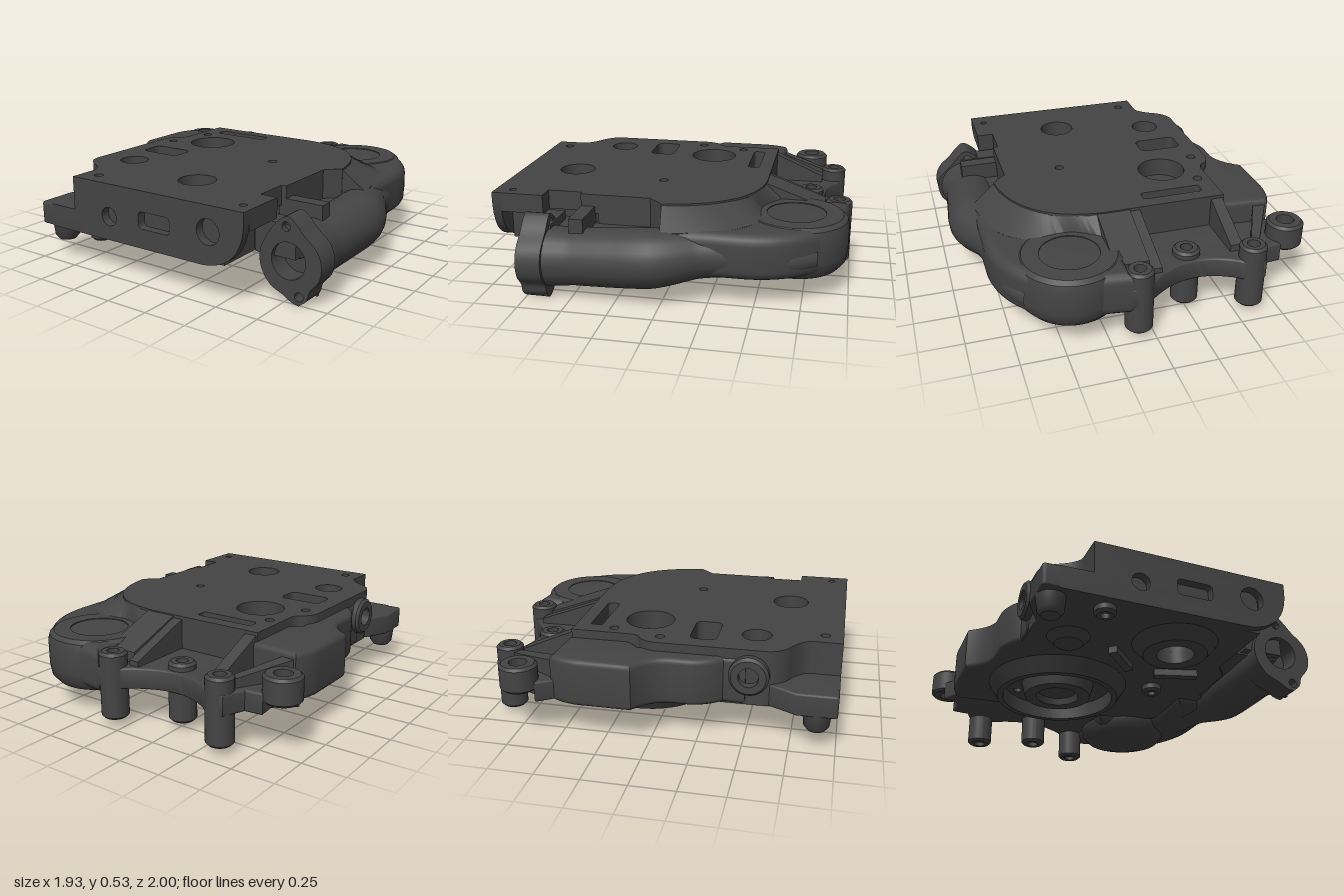
import * as THREE from 'three';
import { toCreasedNormals } from 'three/addons/utils/BufferGeometryUtils.js';

const metal = new THREE.MeshStandardMaterial({ color: 0x444444 });

export function createModel() {
  const model = new THREE.Group();

  const add = (name, geometry) => {
    const mesh = new THREE.Mesh(toCreasedNormals(geometry, 0.6), metal);
    mesh.name = name;
    model.add(mesh);
    return mesh;
  };

  // Points are [x, y] corners or [cx, cy, x, y] curves; holes are [x, y, r] or [x0, y0, x1, y1].
  const makeShape = (pts, holes = []) => {
    const shape = new THREE.Shape();
    pts.forEach((p, i) => {
      if (i === 0) shape.moveTo(...p);
      else if (p.length === 4) shape.quadraticCurveTo(...p);
      else shape.lineTo(...p);
    });
    for (const h of holes) {
      const path = new THREE.Path();
      if (h.length === 3) path.absarc(h[0], h[1], h[2], 0, Math.PI * 2, true);
      else {
        const [a, b, c, d] = h, r = Math.min(c - a, d - b) * 0.3;
        path.moveTo(a + r, b).lineTo(c - r, b).quadraticCurveTo(c, b, c, b + r)
          .lineTo(c, d - r).quadraticCurveTo(c, d, c - r, d).lineTo(a + r, d)
          .quadraticCurveTo(a, d, a, d - r).lineTo(a, b + r).quadraticCurveTo(a, b, a + r, b);
      }
      shape.holes.push(path);
    }
    return shape;
  };

  // Horizontal plate from an x/z outline between two heights.
  const plate = (name, pts, y0, y1, holes = [], bevel = 0) => {
    const g = new THREE.ExtrudeGeometry(makeShape(pts, holes), {
      depth: y1 - y0 - 2 * bevel, bevelEnabled: bevel > 0, bevelThickness: bevel,
      bevelSize: bevel, bevelOffset: -bevel, bevelSegments: 5, curveSegments: 20,
    });
    return add(name, g.rotateX(Math.PI / 2).translate(0, y1 - bevel, 0));
  };

  // Vertical face plate from an x/y shape.
  const facePlate = (name, shape, z0, z1) => add(name, new THREE.ExtrudeGeometry(shape,
    { depth: z1 - z0, bevelEnabled: false, curveSegments: 20 }).translate(0, 0, z0));

  // Turned part around a vertical axis, profile in [r, y].
  const turned = (name, x, z, profile) => add(name, new THREE.LatheGeometry(
    profile.map(p => new THREE.Vector2(...p)), 48).translate(x, 0, z));

  // Four-cornered solid swept through sections (inner top, outer top, outer bottom, inner bottom).
  const loft = (name, sections) => {
    const index = [], n = sections.length;
    for (let j = 0; j < n - 1; j++) for (let k = 0; k < 4; k++) {
      const a = j * 4 + k, b = j * 4 + (k + 1) % 4;
      index.push(a, a + 4, b, b, a + 4, b + 4);
    }
    const e = (n - 1) * 4;
    index.push(0, 1, 2, 0, 2, 3, e, e + 3, e + 2, e, e + 2, e + 1);
    const g = new THREE.BufferGeometry();
    g.setAttribute('position', new THREE.Float32BufferAttribute(sections.flat(2), 3));
    g.setIndex(index);
    return add(name, g);
  };

  // Sloped rib running along z from the rear to the slab.
  const rib = (name, x0, x1, zRear, yRear, zFront, yFront, yBase) => loft(name,
    [[zRear, yRear], [zFront, yFront]].map(([z, y]) =>
      [[x0, y, z], [x1, y, z], [x1, yBase, z], [x0, yBase, z]]));

  // Hollow boss with a chamfered rim.
  const boss = (name, x, z, r, hole, y0, y1) => {
    const c = 0.015;
    return turned(name, x, z, [[hole, y0], [r - c, y0], [r, y0 + c], [r, y1 - c], [r - c, y1], [hole, y1], [hole, y0]]);
  };

  // Main slab: a lower layer, and an upper layer with blind recesses
  const through = [[0.14, 0.67, 0.105], [-0.5, -0.27, 0.026], [-0.57, 0.01, 0.026], [0.26, 0.1, 0.026], [-0.37, 0.9, 0.026]];
  const slabLeft = [[-0.47, 0.95], [-0.47, 0.83], [-0.48, 0.78, -0.57, 0.73], [-0.66, 0.68, -0.66, 0.6], [-0.66, 0.0],
    [-0.65, -0.08, -0.6, -0.1], [-0.57, -0.12, -0.57, -0.17], [-0.57, -0.5], [0.15, -0.5], [0.62, -0.47, 0.68, 0.02], [0.6, 0.1]];
  plate('upperSlab', [...slabLeft, [0.6, 0.5], [0.57, 0.5], [0.57, 0.7], [0.67, 0.7], [0.67, 0.95]], 0.42, 0.53,
    [...through, [0.6, 0.9, 0.02], [-0.33, -0.1, 0.14], [-0.44, 0.53, 0.083],
      [-0.47, -0.42, -0.11, -0.35], [-0.56, 0.17, -0.3, 0.32]]);
  plate('lowerSlab', [...slabLeft, [0.6, 0.4], [0.52, 0.5], [0.52, 0.95]], 0.21, 0.42, through);

  // Front face with three shallow pockets and a swept lower corner
  facePlate('frontFace', makeShape([[-0.47, 0.53], [-0.47, 0.34], [-0.65, 0.34], [-0.65, 0.21], [0.42, 0.21],
    [0.66, 0.23, 0.67, 0.47], [0.67, 0.53]],
    [[-0.21, 0.345, 0.052], [0, 0.32, 0.21, 0.415], [0.455, 0.39, 0.07]]), 0.95, 1);

  // Left-hand shoulder along the slab and the low foot at the front corner
  plate('sideShoulder', [[-0.53, -0.52], [-0.83, -0.54], [-0.88, -0.46, -0.88, -0.36], [-0.88, -0.08],
    [-0.76, 0.0, -0.75, 0.1], [-0.75, 0.22], [-0.73, 0.32, -0.67, 0.38], [-0.67, 0.5], [-0.61, 0.5], [-0.61, -0.1],
    [-0.53, -0.18]], 0.21, 0.48, [], 0.03);
  plate('cornerFoot', [[-0.4, 1], [-0.72, 1], [-0.74, 1, -0.74, 0.98], [-0.74, 0.78], [-0.66, 0.63], [-0.4, 0.63]],
    0.21, 0.34, [[-0.37, 0.9, 0.026]], 0.012);
  turned('footBoss', -0.66, 0.89, [[0, 0.1], [0.05, 0.105], [0.07, 0.13], [0.08, 0.22]]);
  const sidePort = boss('sidePort', 0, 0, 0.11, 0.055, 0, 0.1);
  sidePort.rotation.z = Math.PI / 2;
  sidePort.position.set(-0.61, 0.39, 0.52);

  // Rear mounting plate with concave edge, ribs and bolt bosses
  const bolts = [[-0.59, -0.87, 0.077, 0.036], [-0.25, -0.74, 0.077, 0.034], [0.08, -0.92, 0.077, 0.034]];
  plate('rearPlate', [[-0.84, -0.52], [-0.9, -0.61], [-0.82, -0.64], [-0.79, -0.7], [-0.8, -0.8], [-0.7, -0.81], [-0.65, -0.93],
    [-0.59, -0.95, -0.53, -0.92], [-0.26, -0.72, 0.02, -0.96], [0.07, -1, 0.12, -0.99], [0.16, -0.98], [0.16, -0.48], [-0.5, -0.48]],
    0.22, 0.34, bolts.map(([x, z, , h]) => [x, z, h]), 0.015);
  bolts.forEach(([x, z, r, h], i) => boss('rearBoss' + (i + 1), x, z, r, h, 0.04, i === 1 ? 0.38 : 0.42));
  boss('cornerBoss', -0.86, -0.71, 0.105, 0.05, 0.285, 0.435);
  rib('innerRib', -0.56, -0.49, -0.8, 0.38, -0.48, 0.52, 0.25);
  rib('middleRib', -0.06, 0, -0.88, 0.37, -0.48, 0.52, 0.25);
  rib('outletGusset', 0, 0.19, -0.84, 0.4, -0.48, 0.53, 0.25);
  loft('diagonalRib', [[[-0.65, 0.39, -0.82], [-0.6, 0.39, -0.82], [-0.6, 0.25, -0.82], [-0.65, 0.25, -0.82]],
    [[-0.84, 0.45, -0.5], [-0.76, 0.45, -0.5], [-0.76, 0.25, -0.5], [-0.84, 0.25, -0.5]]]);

  // Round outlet housing with blind bore, set in a curved casing
  turned('outletHousing', 0.4, -0.69, [[0, 0.09], [0.12, 0.095], [0.2, 0.125], [0.25, 0.14], [0.285, 0.18], [0.295, 0.24],
    [0.295, 0.38], [0.285, 0.415], [0.26, 0.435], [0.165, 0.435], [0.165, 0.3], [0, 0.3]]);
  plate('outletCasing', [[0.13, -0.985], [0.45, -0.945], [0.58, -0.925, 0.68, -0.81], [0.82, -0.65, 0.82, -0.43],
    [0.82, 0.0], [0.5, 0.0], [0.5, -0.42], [0.13, -0.46]], 0.17, 0.43, [[0.4, -0.69, 0.2]], 0.06);

  // Shoulder sweeping round from the outlet housing to the side pocket
  const curve = pts => new THREE.CatmullRomCurve3(pts.map(p => new THREE.Vector3(...p)));
  const inner = curve([[0.15, 0.53, -0.49], [0.36, 0.53, -0.45], [0.52, 0.53, -0.33], [0.61, 0.53, -0.18], [0.67, 0.53, 0.02]]);
  const outer = curve([[0.15, 0.43, -0.62], [0.34, 0.43, -0.5], [0.58, 0.43, -0.5], [0.74, 0.43, -0.36], [0.82, 0.41, 0.0]]);
  const sweep = [];
  for (let i = 0; i <= 24; i++) {
    const a = inner.getPoint(i / 24), b = outer.getPoint(i / 24), c = b.y - 0.16;
    sweep.push([a.toArray(), b.toArray(), [b.x, c, b.z], [a.x, c, a.z]]);
  }
  loft('sweptShoulder', sweep);

  // Runner duct: tube with changing radius
  const stations = [[0.78, 0.22, 0.7, 0.175], [0.77, 0.225, 0.5, 0.16], [0.78, 0.24, 0.28, 0.165], [0.79, 0.26, 0.04, 0.165],
    [0.71, 0.28, -0.22, 0.14], [0.675, 0.28, -0.45, 0.135], [0.68, 0.27, -0.66, 0.1], [0.62, 0.27, -0.8, 0.07]];
  const duct = new THREE.TubeGeometry(curve(stations.map(s => s.slice(0, 3))), 56, 1, 24);
  const pos = duct.attributes.position, nor = duct.attributes.normal;
  for (let i = 0; i < pos.count; i++) {
    const t = Math.floor(i / 25) / 56 * (stations.length - 1), k = Math.min(Math.floor(t), stations.length - 2);
    const r = THREE.MathUtils.lerp(stations[k][3], stations[k + 1][3], t - k) - 1;
    pos.setXYZ(i, pos.getX(i) + nor.getX(i) * r, pos.getY(i) + nor.getY(i) * r, pos.getZ(i) + nor.getZ(i) * r);
  }
  add('runnerDuct', duct);
  plate('ductWeb', [[0.5, -0.1], [0.8, -0.1], [0.8, 0.68], [0.5, 0.68]], 0.22, 0.36);

  // Eared inlet flange with a blind bore, and its bracket to the slab
  const ears = [[0.84, 0], [0.885, 0.04], [0.9, 0.09], [0.95, 0.155], [0.965, 0.23], [0.94, 0.31], [0.86, 0.385], [0.82, 0.43],
    [0.77, 0.465], [0.71, 0.43], [0.65, 0.35], [0.605, 0.25], [0.615, 0.16], [0.67, 0.08], [0.75, 0.04], [0.8, 0.01]];
  const flange = new THREE.Shape(curve(ears.map(([x, y]) => [x, y, 0]).concat([[0.84, 0, 0]]))
    .getPoints(64).slice(0, -1).map(p => new THREE.Vector2(p.x, p.y)));
  flange.holes = makeShape([[0, 0]], [[0.775, 0.23, 0.1], [0.84, 0.05, 0.025], [0.76, 0.41, 0.025]]).holes;
  facePlate('inletFlange', flange, 0.62, 0.76);
  add('inletFloor', new THREE.CylinderGeometry(0.14, 0.14, 0.04, 32).rotateX(Math.PI / 2).translate(0.775, 0.23, 0.62));
  add('earFloor', new THREE.BoxGeometry(0.08, 0.08, 0.02).translate(0.84, 0.06, 0.63));
  add('flangeBracket', new THREE.BoxGeometry(0.24, 0.18, 0.12).translate(0.68, 0.32, 0.67));
  add('bracketRib', new THREE.BoxGeometry(0.26, 0.2, 0.08).translate(0.69, 0.36, 0.46));

  // Underside: dished ring and hub, bored ring, small bosses and stiffening ribs
  turned('undersideHub', -0.29, -0.1, [[0, 0.17], [0.12, 0.17], [0.13, 0.13], [0.2, 0.13], [0.225, 0.22]]);
  turned('undersideDish', -0.29, -0.1, [[0.33, 0.22], [0.335, 0.12], [0.37, 0.12], [0.43, 0.22]]);
  turned('undersideRing', 0.14, 0.67, [[0.105, 0.14], [0.18, 0.14], [0.25, 0.22], [0.105, 0.22], [0.105, 0.14]]);
  for (const [x, z] of [[-0.37, 0.9], [0.26, 0.1]]) boss('undersideBoss', x, z, 0.06, 0.026, 0.16, 0.22);
  turned('undersideCup', -0.44, 0.53, [[0, 0.16], [0.08, 0.165], [0.13, 0.22]]);
  for (const [x, z, turn] of [[-0.08, 0.42, 0.8], [0.3, 0.35, -0.3]]) {
    const bar = add('undersideRib', new THREE.BoxGeometry(0.26, 0.06, 0.05));
    bar.position.set(x, 0.2, z);
    bar.rotation.y = turn;
  }

  return model;
}
